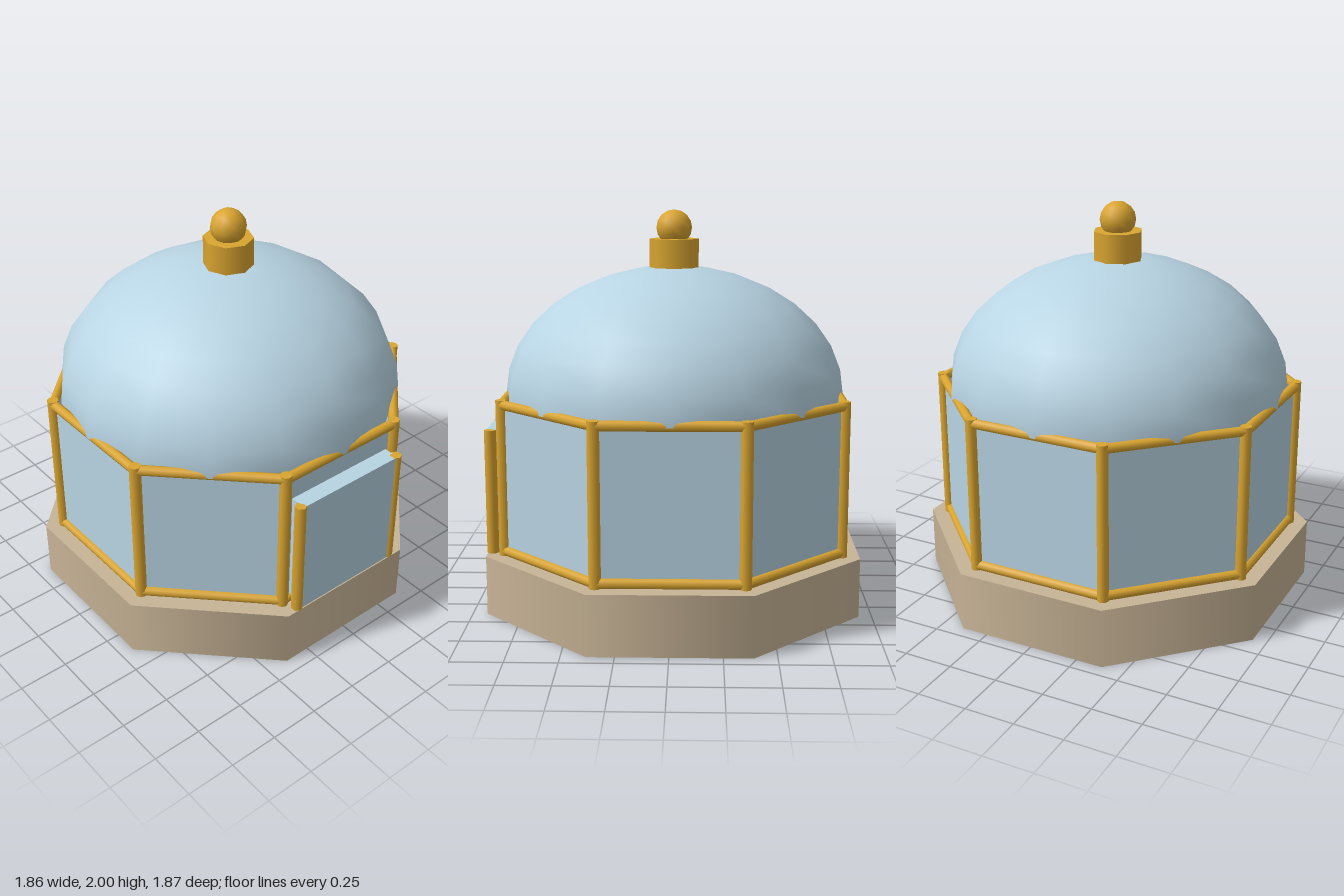
import * as THREE from 'three';

export function createModel() {
  const model = new THREE.Group();
  const building = new THREE.Group();
  building.name = 'building';
  building.position.z = -0.004;
  model.add(building);

  const stone = new THREE.MeshStandardMaterial({ name: 'sandstone', color: 0xc8b496 });
  const glass = new THREE.MeshStandardMaterial({ name: 'paleBlueGlass', color: 0xb8d4e3 });
  const gold = new THREE.MeshStandardMaterial({ name: 'gold', color: 0xdaa530 });

  const add = (name, geometry, material, x = 0, y = 0, z = 0) => {
    const mesh = new THREE.Mesh(geometry, material);
    mesh.name = name;
    mesh.position.set(x, y, z);
    building.add(mesh);
    return mesh;
  };

  // Round bar between two points
  const bar = (name, a, b, radius, sides = 8) => {
    const dir = b.clone().sub(a);
    const mesh = add(name, new THREE.CylinderGeometry(radius, radius, dir.length(), sides), gold);
    mesh.position.copy(a).add(b).multiplyScalar(0.5);
    mesh.quaternion.setFromUnitVectors(new THREE.Vector3(0, 1, 0), dir.normalize());
    return mesh;
  };

  // Octagonal plinth, softly shaded around its sides
  const plinth = new THREE.CylinderGeometry(1.007, 1.007, 0.3, 8);
  plinth.rotateY(Math.PI / 8);
  add('plinth', plinth, stone, 0, 0.15, 0);

  // Eight glazed walls with posts and rails
  const apothem = 0.84;
  const corner = apothem / Math.cos(Math.PI / 8);
  const at = (i, y) => {
    const a = (i + 0.5) * Math.PI / 4;
    return new THREE.Vector3(Math.sin(a) * corner, y, Math.cos(a) * corner);
  };
  for (let i = 0; i < 8; i++) {
    const a = i * Math.PI / 4;
    const pane = add('wallPane', new THREE.BoxGeometry(0.69, 0.76, 0.02), glass,
      Math.sin(a) * (apothem - 0.01), 0.68, Math.cos(a) * (apothem - 0.01));
    pane.rotation.y = a;
    bar('cornerPost', at(i, 0.3), at(i, 1.088), 0.029);
    bar('topRail', at(i - 1, 1.064), at(i, 1.064), 0.025);
    bar('bottomRail', at(i - 1, 0.322), at(i, 0.322), 0.025);
  }

  // Door block with a gold post on each side
  add('door', new THREE.BoxGeometry(0.61, 0.63, 0.085), glass, 0, 0.615, 0.882);
  for (const s of [-1, 1]) {
    add('doorPost', new THREE.CylinderGeometry(0.03, 0.03, 0.63, 6), gold, s * 0.31, 0.615, 0.906);
  }

  // Flattened dome with a closed underside
  const domeShape = new THREE.SphereGeometry(0.868, 16, 8, 0, Math.PI * 2, 0, Math.PI / 2);
  domeShape.scale(1, 0.66 / 0.868, 1);
  add('dome', domeShape, glass, 0, 1.06, 0);
  const ceiling = new THREE.CircleGeometry(0.868, 16);
  ceiling.rotateX(Math.PI / 2);
  add('domeUnderside', ceiling, glass, 0, 1.06, 0);

  // Finial
  add('finialCollar', new THREE.CylinderGeometry(0.124, 0.124, 0.165, 8), gold, 0, 1.7725, 0);
  add('finialBall', new THREE.SphereGeometry(0.09, 12, 8), gold, 0, 1.91, 0);

  return model;
}
